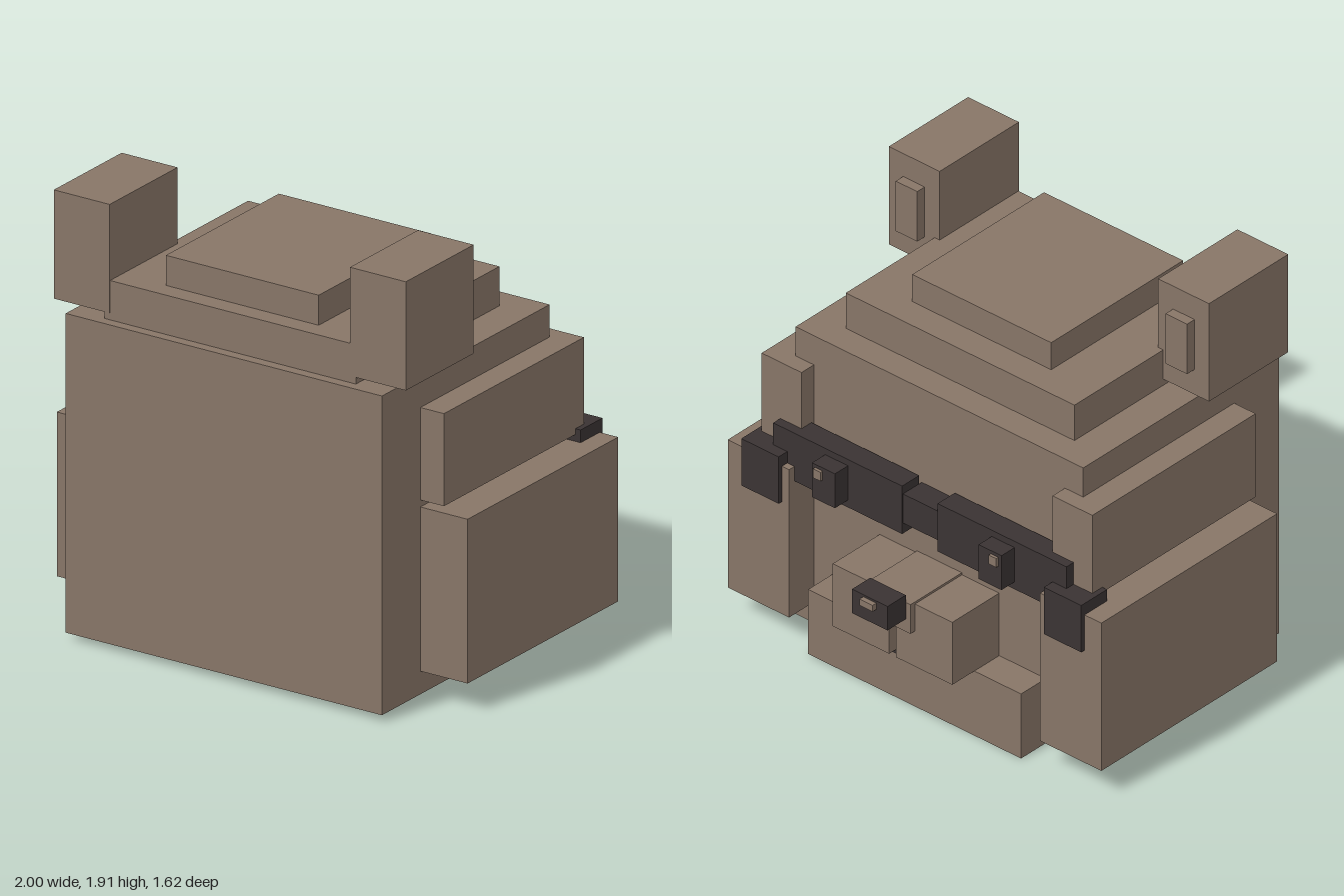
import * as THREE from 'three';

export function createModel() {
  const model = new THREE.Group();
  model.name = 'blockyAnimalHead';

  const fur = new THREE.MeshStandardMaterial({ color: 0x877567 });
  fur.name = 'brown fur';
  const dark = new THREE.MeshStandardMaterial({ color: 0x3a3333 });
  dark.name = 'dark mask';

  // Box given by its extents along each axis
  function box(name, mat, [x0, x1], [y0, y1], [z0, z1]) {
    const mesh = new THREE.Mesh(new THREE.BoxGeometry(x1 - x0, y1 - y0, z1 - z0), mat);
    mesh.position.set((x0 + x1) / 2, (y0 + y1) / 2, (z0 + z1) / 2);
    mesh.name = name;
    model.add(mesh);
  }

  // The same box on both sides of the head
  function pair(name, mat, [x0, x1], y, z) {
    box(name + 'Left', mat, [x0, x1], y, z);
    box(name + 'Right', mat, [-x1, -x0], y, z);
  }

  // Skull and stepped crown
  box('skull', fur, [-0.77, 0.77], [0.03, 1.41], [-0.37, 0.81]);
  box('lowerCrown', fur, [-0.612, 0.612], [1.41, 1.58], [-0.245, 0.765]);
  box('upperCrown', fur, [-0.372, 0.372], [1.58, 1.71], [-0.115, 0.68]);

  // Ears
  pair('ear', fur, [0.585, 0.857], [1.44, 1.91], [0.29, 0.768]);
  pair('innerEar', fur, [0.665, 0.78], [1.56, 1.8], [0.245, 0.29]);

  // Cheeks
  pair('lowerCheek', fur, [0.672, 1.0], [0.13, 0.84], [-0.52, 0.54]);
  pair('upperCheek', fur, [0.672, 0.885], [0.87, 1.27], [-0.445, 0.54]);

  // Jaw and muzzle
  box('jaw', fur, [-0.57, 0.57], [0, 0.31], [-0.52, -0.115]);
  pair('muzzle', fur, [0.018, 0.32], [0.31, 0.61], [-0.653, -0.36]);
  box('snoutBridge', fur, [-0.12, 0.12], [0.48, 0.62], [-0.68, -0.36]);
  box('lipLine', dark, [-0.018, 0.018], [0.31, 0.48], [-0.61, -0.36]);
  pair('mouthCorner', dark, [0.018, 0.085], [0.29, 0.31], [-0.61, -0.57]);

  // Nose
  box('nose', dark, [-0.095, 0.095], [0.54, 0.655], [-0.79, -0.68]);
  box('noseHighlight', fur, [-0.035, 0.035], [0.615, 0.645], [-0.813, -0.79]);

  // Eye mask
  box('maskBridge', dark, [-0.095, 0.095], [0.82, 0.96], [-0.483, -0.36]);
  pair('maskPanel', dark, [0.095, 0.785], [0.77, 1.0], [-0.488, -0.385]);
  pair('maskTip', dark, [0.71, 0.91], [0.67, 0.895], [-0.54, -0.385]);

  // Eyes
  pair('eye', dark, [0.385, 0.507], [0.805, 0.97], [-0.567, -0.488]);
  pair('eyeHighlight', fur, [0.45, 0.49], [0.912, 0.955], [-0.58, -0.567]);

  return model;
}
